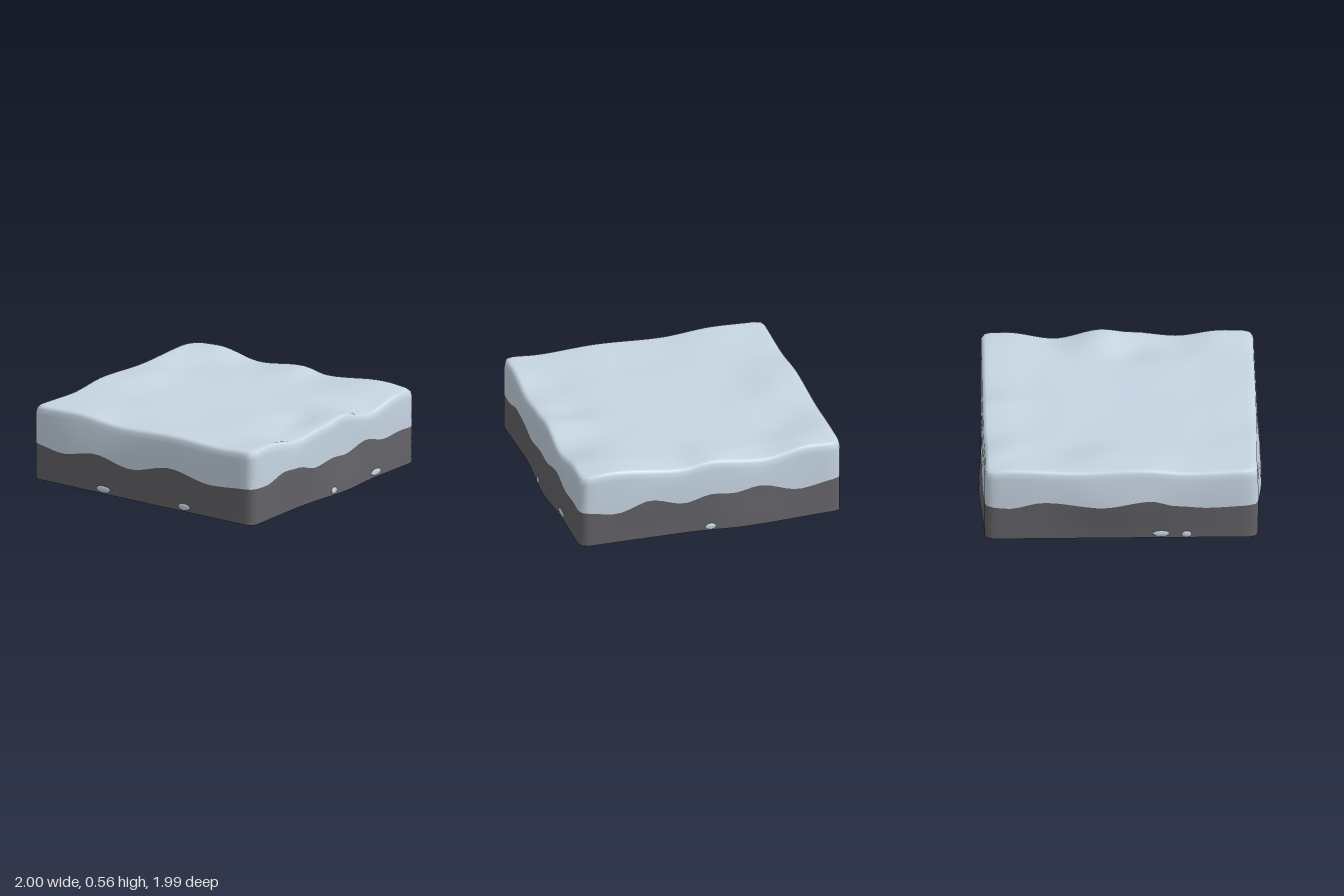
import * as THREE from 'three';
import { mergeVertices } from 'three/addons/utils/BufferGeometryUtils.js';

const N = 32; // columns per side
const CORNER = 0.966;

// Each side is described along its own coordinate: x for front/back, z for left/right.
// base, mid, top: outward distance at three heights; wave: snow line; rim: top edge height.
const SIDES = {
  front: {
    base: [[-0.4, 0.955], [0.13, 0.99], [0.5, 0.965]], mid: [[-0.4, 0.972], [0.3, 0.965]], top: [[0, 0.975]],
    wave: [[-0.8, 0.26], [-0.58, 0.312], [-0.42, 0.3], [-0.22, 0.25], [0, 0.272], [0.13, 0.26], [0.38, 0.305], [0.6, 0.258], [0.8, 0.272]],
    rim: [[-0.75, 0.545], [-0.42, 0.5], [-0.1, 0.53], [0.11, 0.555], [0.45, 0.485], [0.8, 0.54]],
  },
  right: {
    base: [[-0.25, 1], [0.2, 0.968]], mid: [[-0.25, 0.98], [0.5, 0.975]], top: [[0, 0.972]],
    wave: [[-0.65, 0.225], [-0.35, 0.3], [-0.17, 0.27], [0, 0.285], [0.2, 0.24], [0.45, 0.3], [0.7, 0.23]],
    rim: [[-0.75, 0.55], [-0.4, 0.495], [0, 0.535], [0.2, 0.505], [0.75, 0.555]],
  },
  back: {
    base: [[0, 0.965]], mid: [[-0.8, 0.975], [0.1, 1], [0.5, 0.975]], top: [[0, 0.975]],
    wave: [[-0.6, 0.25], [-0.39, 0.27], [-0.21, 0.315], [0.14, 0.265], [0.55, 0.3], [0.8, 0.25]],
    rim: [[-0.5, 0.525], [-0.15, 0.553], [0.3, 0.535], [0.8, 0.555]],
  },
  left: {
    base: [[0, 0.97]], mid: [[-0.6, 1], [0.2, 0.98]], top: [[0, 0.972]],
    wave: [[-0.7, 0.24], [-0.4, 0.29], [-0.1, 0.23], [0.25, 0.3], [0.6, 0.24]],
    rim: [[-0.6, 0.55], [-0.2, 0.52], [0.3, 0.54], [0.7, 0.525]],
  },
};
const ORDER = ['front', 'right', 'back', 'left'];

const smooth = (t) => t * t * (3 - 2 * t);
const mix = (a, b, t) => a + (b - a) * t;

// Eased interpolation through the table, meeting the shared corner value at both ends
function sample(table, c, corner) {
  const pts = [[-CORNER, corner], ...table, [CORNER, corner]];
  let i = 0;
  while (i < pts.length - 2 && c > pts[i + 1][0]) i++;
  const [a, b] = [pts[i], pts[i + 1]];
  return mix(a[1], b[1], smooth(THREE.MathUtils.clamp((c - a[0]) / (b[0] - a[0]), 0, 1)));
}

// Point on a side wall at coordinate c and height y, moved inwards by inset
function wallPoint(name, c, y, inset = 0) {
  const s = SIDES[name];
  const [base, mid, top] = [s.base, s.mid, s.top].map((t) => sample(t, c, CORNER));
  let d = y < 0.32 ? mix(base, mid, smooth(y / 0.32)) : mix(mid, top, smooth(Math.min(1, (y - 0.32) / 0.16)));
  const round = 0.016 * smooth(THREE.MathUtils.clamp((Math.abs(c) - 0.9) / (CORNER - 0.9), 0, 1));
  d -= round + inset;
  const along = c * (1 - (inset + round) / CORNER);
  return {
    front: [along, y, d], back: [along, y, -d],
    right: [d, y, along], left: [-d, y, along],
  }[name];
}

// One closed ring of points; level(wave, rim) gives [height, inset]
function ring(level) {
  const out = [];
  for (const name of ORDER) {
    const dir = name === 'front' || name === 'left' ? 1 : -1;
    for (let i = 0; i < N; i++) {
      const c = dir * mix(-CORNER, CORNER, i / N);
      const wave = sample(SIDES[name].wave, c, 0.265);
      const rim = sample(SIDES[name].rim, c, 0.54);
      out.push(wallPoint(name, c, ...level(wave, rim)));
    }
  }
  return out;
}

function quad(out, a, b, c, d) {
  out.push(...a, ...b, ...c, ...a, ...c, ...d);
}

function skin(out, rings) {
  for (let r = 0; r < rings.length - 1; r++) {
    const [lo, hi] = [rings[r], rings[r + 1]];
    lo.forEach((p, i) => {
      const j = (i + 1) % lo.length;
      quad(out, p, lo[j], hi[j], hi[i]);
    });
  }
}

function toGeometry(positions) {
  let g = new THREE.BufferGeometry();
  g.setAttribute('position', new THREE.Float32BufferAttribute(positions, 3));
  g = mergeVertices(g, 1e-5);
  g.computeVertexNormals();
  return g;
}

// Soft dents and swells on the upper surface: x, z, radius, height
const DRIFTS = [
  [-0.1, 0.72, 0.16, -0.03], [-0.4, 0.5, 0.25, 0.012], [0.5, -0.72, 0.22, -0.02],
  [0.1, -0.7, 0.2, 0.015], [0.65, 0.6, 0.25, 0.015], [-0.6, -0.3, 0.35, 0.01],
];

// Upper surface blended from its four rim edges, flattening towards the middle
function addTop(out, rim) {
  const point = (i, j) => {
    const [u, v] = [i / N, j / N];
    const F = rim[i], B = rim[3 * N - i], R = rim[N + j], L = rim[(4 * N - j) % (4 * N)];
    const [c00, c10, c11, c01] = [rim[0], rim[N], rim[2 * N], rim[3 * N]];
    const p = [0, 1, 2].map((k) => mix(F[k], B[k], v) + mix(L[k], R[k], u)
      - mix(mix(c00[k], c10[k], u), mix(c01[k], c11[k], u), v));
    const edge = Math.min(u, 1 - u, v, 1 - v);
    const fade = smooth(Math.min(1, edge / 0.28));
    let y = mix(p[1], 0.522, fade);
    for (const [x, z, r, h] of DRIFTS) {
      y += h * Math.exp(-((p[0] - x) ** 2 + (p[2] - z) ** 2) / (r * r)) * Math.min(1, edge * 10);
    }
    return [p[0], y, p[2]];
  };
  for (let i = 0; i < N; i++) {
    for (let j = 0; j < N; j++) quad(out, point(i, j), point(i + 1, j), point(i + 1, j + 1), point(i, j + 1));
  }
}

export function createModel() {
  const group = new THREE.Group();
  const snow = new THREE.MeshStandardMaterial({ name: 'snow', color: 0xc6d5e2 });
  const rock = new THREE.MeshStandardMaterial({ name: 'rock', color: 0x636368 });
  const add = (name, geometry, material) => {
    const mesh = new THREE.Mesh(geometry, material);
    mesh.name = name;
    group.add(mesh);
    return mesh;
  };

  // Rock walls up to the wavy snow line
  const walls = [];
  const base = ring(() => [0, 0]);
  skin(walls, [base, ...[0.25, 0.5, 0.75, 1].map((f) => ring((w) => [w * f, 0]))]);
  add('rockWalls', toGeometry(walls), rock);

  // Flat underside
  const under = [];
  base.forEach((p, i) => under.push(0, 0, 0, ...base[(i + 1) % base.length], ...p));
  add('rockUnderside', toGeometry(under), rock);

  // Snow cap: hanging edge, rounded rim and drifted top
  const cap = [];
  const rim = ring((w, r) => [r, 0.035]);
  skin(cap, [
    ring((w) => [w, 0]),
    ring((w, r) => [mix(w, r, 0.4), 0]),
    ring((w, r) => [r - 0.06, 0]),
    ring((w, r) => [r - 0.022, 0.006]),
    ring((w, r) => [r - 0.006, 0.018]),
    rim,
  ]);
  addTop(cap, rim);
  add('snowCap', toGeometry(cap), snow);

  // Small snow patches near the foot of the walls: side, coordinate, height, half width
  const patches = [
    ['front', -0.02, 0.035, 0.032], ['front', 0.5, 0.038, 0.055], ['right', 0.01, 0.03, 0.04],
    ['back', -0.28, 0.035, 0.06], ['back', -0.46, 0.03, 0.035], ['left', -0.34, 0.035, 0.06], ['left', 0.37, 0.035, 0.05],
  ];
  for (const [side, c, y, w] of patches) {
    const patch = add('snowPatch', new THREE.SphereGeometry(1, 14, 8), snow);
    patch.position.set(...wallPoint(side, c, y));
    patch.scale.set(w, 0.024, 0.008);
    if (side === 'left' || side === 'right') patch.rotation.y = Math.PI / 2;
  }
  return group;
}
